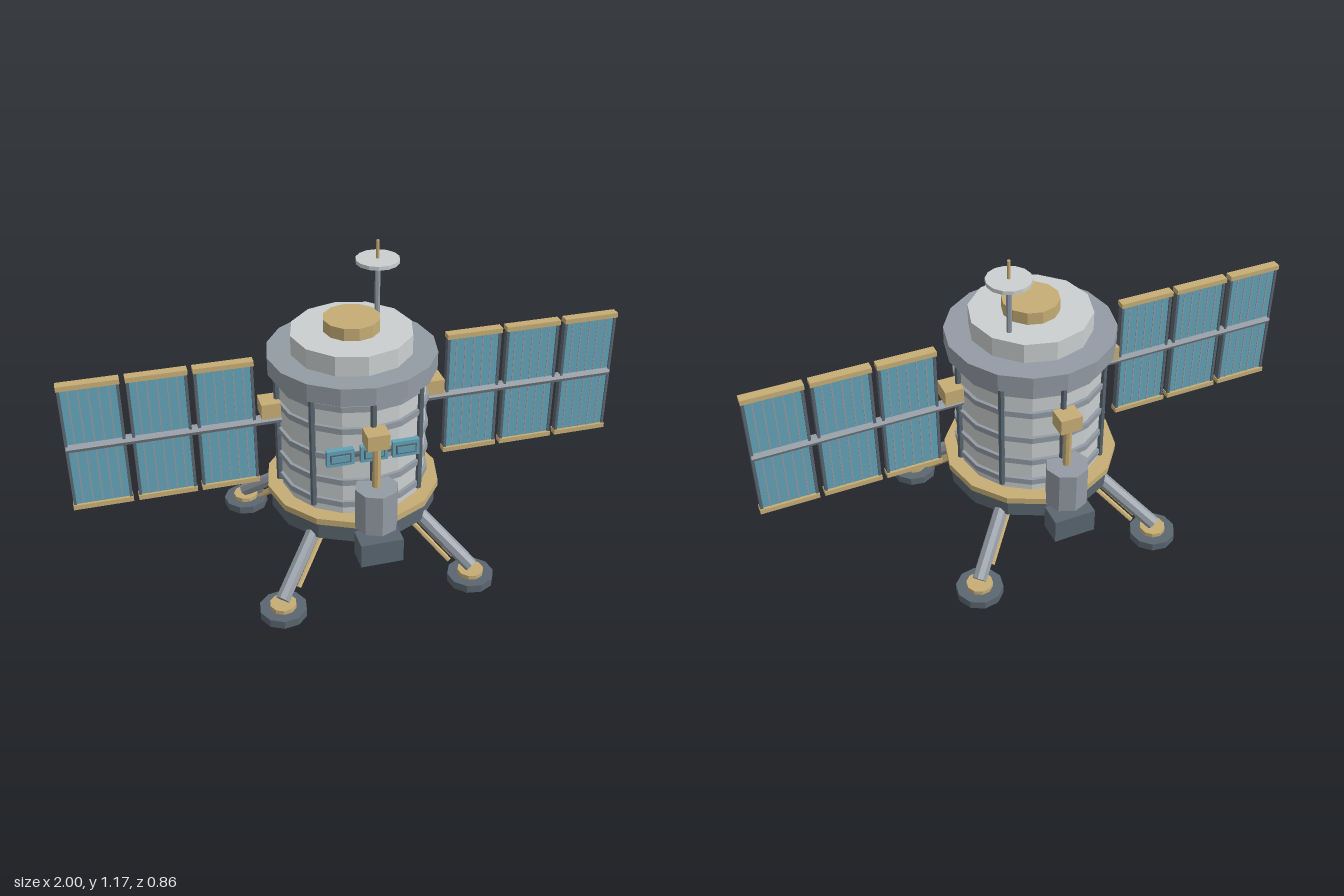
import * as THREE from 'three';

const mat = (name, color) => {
  const m = new THREE.MeshStandardMaterial({ color, flatShading: true });
  m.name = name;
  return m;
};

export function createModel() {
  const light = mat('hull white', 0xcbcfcf);
  const grey = mat('mid grey', 0x939ba4);
  const dark = mat('dark slate', 0x5a6670);
  const gold = mat('gold foil', 0xc6ad75);
  const blue = mat('solar blue', 0x62a2b6);

  const model = new THREE.Group();
  model.name = 'lander';
  const craft = new THREE.Group();
  craft.name = 'craft';
  craft.rotation.x = -0.0145; // settles very slightly backwards
  model.add(craft);

  const add = (name, geo, material, x = 0, y = 0, z = 0, parent = craft) => {
    const mesh = new THREE.Mesh(geo, material);
    mesh.name = name;
    mesh.position.set(x, y, z);
    parent.add(mesh);
    return mesh;
  };
  const box = (name, material, w, h, d, x, y, z, parent) =>
    add(name, new THREE.BoxGeometry(w, h, d), material, x, y, z, parent);
  // upright cylinder between two heights
  const drum = (name, material, r, y0, y1, sides, x = 0, z = 0, parent = craft) =>
    add(name, new THREE.CylinderGeometry(r, r, y1 - y0, sides).rotateY(Math.PI / 2),
      material, x, (y0 + y1) / 2, z, parent);
  // cylinder between two points
  const rod = (name, material, r, a, b, sides, parent) => {
    const p = new THREE.Vector3(...a), q = new THREE.Vector3(...b);
    const m = add(name, new THREE.CylinderGeometry(r, r, p.distanceTo(q), sides), material, 0, 0, 0, parent);
    m.position.copy(p).add(q).multiplyScalar(0.5);
    m.quaternion.setFromUnitVectors(new THREE.Vector3(0, 1, 0), q.sub(p).normalize());
    return m;
  };

  // Hull stack
  drum('baseDeck', dark, 0.302, 0.22, 0.287, 14);
  drum('baseRim', gold, 0.315, 0.287, 0.311, 14);
  drum('hull', light, 0.26, 0.311, 0.765, 16);
  drum('collar', grey, 0.298, 0.763, 0.828, 16);
  drum('cap', light, 0.215, 0.828, 0.9, 12);
  drum('hatch', gold, 0.1, 0.9, 0.945, 12);

  // Hull bands and vertical ribs
  for (const y of [0.355, 0.445, 0.542, 0.65, 0.735])
    drum('hullBand', grey, 0.272, y - 0.011, y + 0.011, 16);
  for (let i = 0; i < 8; i++) {
    const a = i * Math.PI / 4;
    drum('hullRib', dark, 0.011, 0.335, 0.765, 6, 0.27 * Math.sin(a), 0.27 * Math.cos(a));
  }

  // Antenna
  drum('antennaMast', grey, 0.01, 0.9, 1.092, 8, 0.12, -0.096);
  drum('antennaDish', light, 0.077, 1.09, 1.104, 14, 0.12, -0.096);
  drum('antennaTip', gold, 0.006, 1.104, 1.17, 6, 0.12, -0.096);

  // Thruster pods, front and back
  for (const s of [1, -1]) {
    const pod = new THREE.Group();
    pod.name = s > 0 ? 'frontPod' : 'backPod';
    craft.add(pod);
    box('podBracket', gold, 0.078, 0.056, 0.068, 0, 0.64, s * 0.302, pod);
    drum('podPost', gold, 0.015, 0.45, 0.62, 8, 0, s * 0.308, pod);
    drum('podTank', grey, 0.076, 0.297, 0.453, 8, 0, s * 0.31, pod);
    box('podBox', dark, 0.152, 0.09, 0.088, 0, 0.225, s * 0.344, pod);
  }

  // Front windows: blue plate, dark inner frame, blue pane
  for (const x of [-0.117, 0, 0.112]) {
    const win = new THREE.Group();
    win.name = 'window';
    win.position.set(x, 0.568, 0.272);
    craft.add(win);
    box('windowPlate', blue, 0.094, 0.06, 0.02, 0, 0, 0, win);
    box('windowFrame', dark, 0.072, 0.034, 0.004, 0, 0, 0.011, win);
    box('windowPane', blue, 0.062, 0.024, 0.004, 0, 0, 0.0135, win);
  }
  for (const x of [-0.058, 0.056]) box('windowLink', dark, 0.025, 0.012, 0.014, x, 0.568, 0.27);

  // Solar wings
  const mid = 0.588;
  for (const s of [1, -1]) {
    const wing = new THREE.Group();
    wing.name = s > 0 ? 'leftWing' : 'rightWing';
    craft.add(wing);
    box('wingBracket', gold, 0.068, 0.056, 0.078, s * 0.298, 0.64, 0, wing);
    rod('wingBoom', grey, 0.018, [s * 0.25, mid, 0], [s * 0.995, mid, 0], 6, wing);
    for (const c of [0.449, 0.672, 0.896]) {
      const panel = new THREE.Group();
      panel.name = 'solarPanel';
      panel.position.set(s * c, mid, 0);
      wing.add(panel);
      box('cells', blue, 0.196, 0.45, 0.014, 0, 0, 0, panel);
      for (const e of [1, -1]) {
        box('panelCap', gold, 0.206, 0.018, 0.034, 0, e * 0.234, 0, panel);
        box('panelEdge', dark, 0.01, 0.452, 0.024, e * 0.096, 0, 0, panel);
      }
      for (let i = -2; i <= 2; i++)
        box('cellLine', grey, 0.005, 0.45, 0.018, i * 0.033, 0, 0, panel);
    }
  }

  // Landing legs, each built along +x and turned to a corner
  for (let i = 0; i < 4; i++) {
    const leg = new THREE.Group();
    leg.name = 'leg';
    leg.rotation.y = Math.PI / 4 + i * Math.PI / 2;
    craft.add(leg);
    rod('legStrut', grey, 0.026, [0.24, 0.25, 0], [0.49, 0.066, 0], 8, leg);
    for (const w of [1, -1])
      rod('legBrace', gold, 0.009, [0.2, 0.23, w * 0.016], [0.41, 0.07, w * 0.016], 6, leg);
    drum('footPad', dark, 0.084, 0.006, 0.036, 10, 0.488, 0, leg);
    drum('footCollar', gold, 0.047, 0.036, 0.052, 10, 0.488, 0, leg);
  }
  return model;
}
